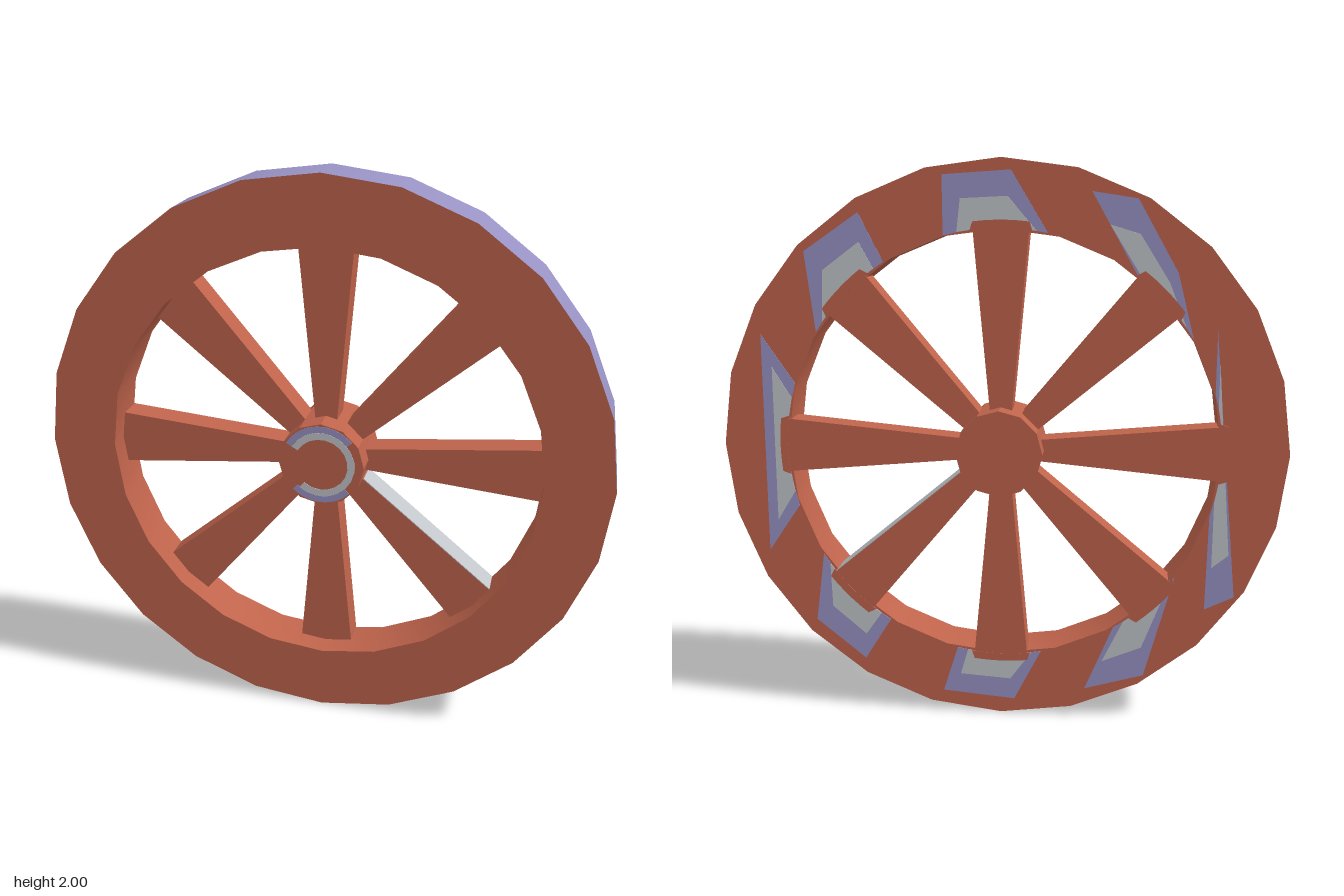
import * as THREE from 'three';
import { toCreasedNormals } from 'three/addons/utils/BufferGeometryUtils.js';

const RIM_OUT = 1, RIM_IN = 0.765, FRONT = 0.125, BACK = -0.045;
const rad = THREE.MathUtils.degToRad;

function colour(name, color) {
  const m = new THREE.MeshStandardMaterial({ color });
  m.name = name;
  return m;
}

export function createModel() {
  const red = colour('terracotta', 0xc0644c);
  const violet = colour('violet', 0x9892c4);
  const grey = colour('pale grey', 0xc2c6ca);

  const model = new THREE.Group();
  model.name = 'wagonWheel';
  const wheel = new THREE.Group();
  wheel.name = 'wheel';
  wheel.position.y = 1;
  model.add(wheel);

  function add(name, geometry, material, parent = wheel) {
    const mesh = new THREE.Mesh(geometry, material);
    mesh.name = name;
    parent.add(mesh);
    return mesh;
  }

  // Flat outline extruded between two depths
  function slab(points, z0, z1) {
    const g = new THREE.ExtrudeGeometry(new THREE.Shape(points), { depth: z1 - z0, bevelEnabled: false });
    return g.translate(0, 0, z0);
  }
  const polar = (r, deg) => new THREE.Vector2(r * Math.cos(rad(deg)), r * Math.sin(rad(deg)));
  const arc = (r, a0, a1, n) => Array.from({ length: n + 1 }, (_, i) => polar(r, a0 + ((a1 - a0) * i) / n));

  // Rim: terracotta faces and inside, violet tread
  const ring = [[RIM_OUT, FRONT], [RIM_IN, FRONT], [RIM_IN, BACK], [RIM_OUT, BACK]]
    .map(([x, y]) => new THREE.Vector2(x, y));
  add('rim', toCreasedNormals(new THREE.LatheGeometry(ring, 24).rotateX(Math.PI / 2), 0.6), red);
  const tread = new THREE.CylinderGeometry(RIM_OUT, RIM_OUT, FRONT - BACK, 24, 1, true);
  add('tread', tread.rotateX(Math.PI / 2).translate(0, 0, (FRONT + BACK) / 2), violet);

  // Hub
  const hub = new THREE.CylinderGeometry(0.152, 0.152, 0.25, 12).rotateX(Math.PI / 2);
  add('hub', toCreasedNormals(hub, 0.3), red);

  // Painted rings on the hub front
  const band = (r0, r1, a0, a1) => slab([...arc(r1, a0, a1, 16), ...arc(r0, a1, a0, 16)], 0.124, 0.127);
  add('hubGreyRing', band(0.095, 0.12, -130, 150), grey);
  add('hubVioletTop', band(0.12, 0.143, 40, 150), violet);
  add('hubVioletBottom', band(0.12, 0.143, 225, 315), violet);

  // Eight flaring spokes
  const half = [0.038, 0.097], reach = [0.13, 0.772];
  const outline = [[reach[0], -half[0]], [reach[1], -half[1]], [reach[1], half[1]], [reach[0], half[0]]]
    .map(([x, y]) => new THREE.Vector2(x, y));
  for (let i = 0; i < 8; i++) {
    const spoke = add('spoke', slab(outline, -0.05, 0.045), red);
    spoke.rotation.z = (i * Math.PI) / 4;
  }

  // Pale upper side of one spoke
  const side = [[0.15, 0.04], [0.758, 0.0957], [0.758, 0.0987], [0.15, 0.043]]
    .map(([x, y]) => new THREE.Vector2(x, y));
  add('spokeSidePaint', slab(side, -0.05, 0.045), grey).rotation.z = -Math.PI / 4;

  // Painted patches on the rim back, one behind each spoke:
  // inner start angle, inner end angle, outer corners as [radius, angle]
  const patches = [
    [-17, 17, [[0.94, -25], [0.94, 25]]],
    [-13, 13, [[0.97, 0], [0.955, 14]]],
    [-15, 12, [[0.965, -12], [0.96, 2]]],
    [-8, 14, [[0.94, -26], [0.98, -17], [0.863, -1]]],
    [-16, 17, [[0.852, -30], [0.98, 32], [0.925, 38]]],
    [-9, 13, [[0.98, 13], [0.944, 26]]],
    [-11, 12, [[0.946, -3], [0.946, 13]]],
    [-13, 13, [[0.952, -13], [0.952, 1]]],
  ];
  // Nested layers: name, material, radial scale, angular scale, height
  const layers = [
    ['rimVioletPatch', violet, 1, 1, 0.002],
    ['rimGreyPatch', grey, 0.55, 0.76, 0.004],
  ];
  const base = 0.768;
  patches.forEach(([a0, a1, corners], i) => {
    for (const [name, material, rs, as, h] of layers) {
      const pts = corners.map(([r, a]) => polar(base + (r - base) * rs, a * as));
      pts.push(...arc(base, a1 * as, a0 * as, 6));
      add(name, slab(pts, BACK - h, BACK + 0.003), material).rotation.z = (i * Math.PI) / 4;
    }
    // Terracotta tip where the spoke meets the rim
    const tip = slab([...arc(0.795, -7, 7, 5), ...arc(0.767, 8, -8, 5)], BACK - 0.006, BACK + 0.003);
    add('spokeTip', tip, red).rotation.z = (i * Math.PI) / 4;
  });

  return model;
}
